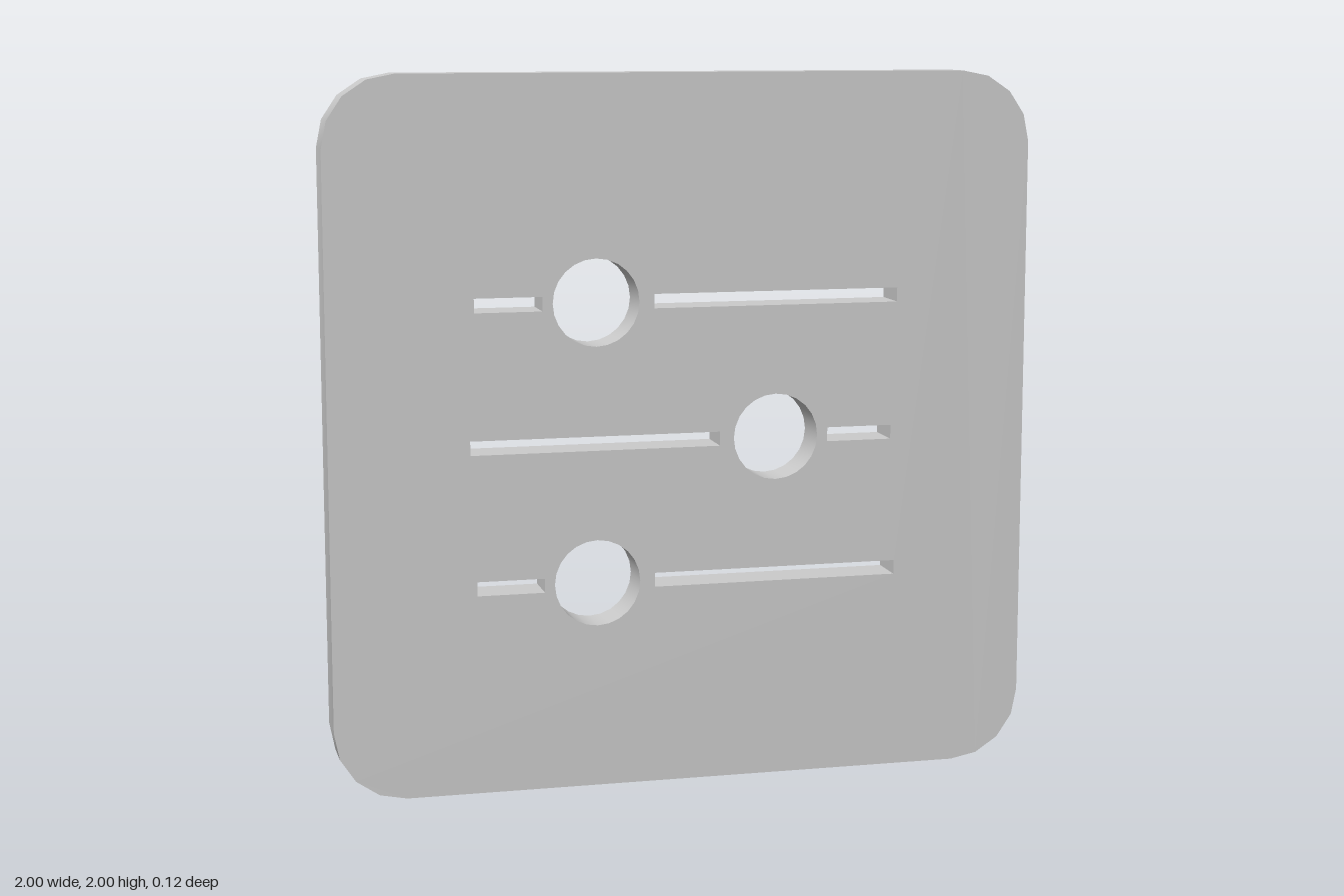
import * as THREE from 'three';
import { toCreasedNormals } from 'three/addons/utils/BufferGeometryUtils.js';

const DEPTH = 0.12;
const CORNER = 0.2;
const KNOB_RADIUS = 0.122;
const SLOT_HEIGHT = 0.04;

// Points along an arc, both ends included
function arc(cx, cy, r, start, sweep, segments) {
  return Array.from({ length: segments + 1 }, (_, i) => {
    const a = start + (sweep * i) / segments;
    return new THREE.Vector2(cx + r * Math.cos(a), cy + r * Math.sin(a));
  });
}

// Each row: height, knob hole position, and the slots either side of it
const rows = [
  { y: 1.373, knob: -0.255, slots: [[-0.595, -0.405], [-0.09, 0.615]] },
  { y: 0.98, knob: 0.26, slots: [[-0.61, 0.098], [0.412, 0.6]] },
  { y: 0.585, knob: -0.255, slots: [[-0.595, -0.405], [-0.09, 0.615]] },
];

export function createModel() {
  const group = new THREE.Group();
  group.name = 'sliderPlate';

  // Square outline with rounded corners
  const c = 1 - CORNER;
  const outline = [[c, c], [-c, c], [-c, -c], [c, -c]].flatMap(([x, y], i) =>
    arc(x, y + 1, CORNER, (i * Math.PI) / 2, Math.PI / 2, 4));
  const shape = new THREE.Shape(outline);

  // Round knob holes and narrow slots, cut right through
  for (const { y, knob, slots } of rows) {
    const circle = arc(knob, y, KNOB_RADIUS, 0, -Math.PI * 2, 24).slice(0, -1);
    shape.holes.push(new THREE.Path(circle));
    for (const [x0, x1] of slots) {
      const h = SLOT_HEIGHT / 2;
      shape.holes.push(new THREE.Path([
        new THREE.Vector2(x0, y - h), new THREE.Vector2(x0, y + h),
        new THREE.Vector2(x1, y + h), new THREE.Vector2(x1, y - h),
      ]));
    }
  }

  const extruded = new THREE.ExtrudeGeometry(shape, { depth: DEPTH, bevelEnabled: false });
  extruded.translate(0, 0, -DEPTH / 2);
  const plate = new THREE.Mesh(
    toCreasedNormals(extruded, Math.PI / 5),
    new THREE.MeshStandardMaterial({ color: 0xcccccc }),
  );
  plate.name = 'plate';
  group.add(plate);
  return group;
}
